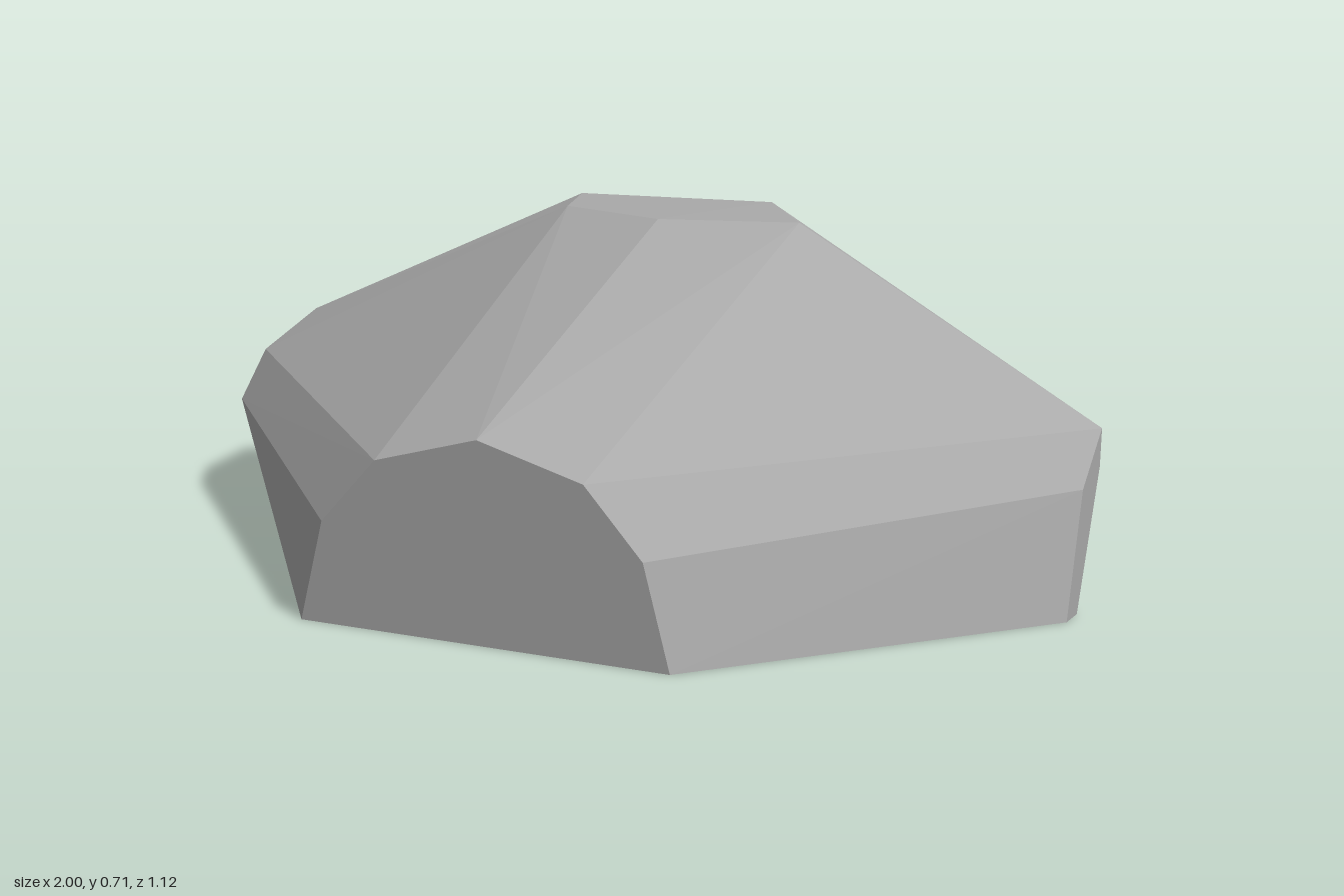
import * as THREE from 'three';
import { ConvexGeometry } from 'three/addons/geometries/ConvexGeometry.js';

export function createModel() {
  const model = new THREE.Group();
  model.name = 'rock';

  const stone = new THREE.MeshStandardMaterial({ color: 0xaaaaaa });
  stone.name = 'stone grey';

  // Flat front end: an arch of [x, y] at one depth
  const frontArch = [
    [-0.31, 0], [-0.26, 0.2], [-0.14, 0.33], [0.08, 0.39],
    [0.3, 0.33], [0.42, 0.2], [0.475, 0],
  ].map(([x, y]) => [x, y, 0.56]);

  // Nearly level crown
  const crown = [
    [0.08, 0.712, -0.195], [-0.19, 0.712, -0.31], [0.355, 0.71, -0.288],
    [0.18, 0.715, -0.55], [-0.28, 0.71, -0.55],
  ];

  // Left end, cut flat at x = 1: [y, z]
  const leftEnd = [
    [0, -0.1], [0.245, -0.175], [0.345, -0.288], [0.27, -0.283], [0, -0.165],
  ].map(([y, z]) => [1, y, z]);

  // Right end, cut flat at x = -1: [y, z]
  const rightEnd = [
    [0.23, -0.245], [0.33, -0.345], [0.395, -0.56], [0.335, -0.557],
  ].map(([y, z]) => [-1, y, z]);

  // Rear bulge and the base corner beneath the right end
  const rear = [[-0.49, 0.41, -0.556], [-0.57, 0, -0.037]];

  // Flat facets stretched over all the corners
  const corners = [...frontArch, ...crown, ...leftEnd, ...rightEnd, ...rear]
    .map((p) => new THREE.Vector3(...p));
  const boulder = new THREE.Mesh(new ConvexGeometry(corners), stone);
  boulder.name = 'boulder';
  model.add(boulder);

  return model;
}
